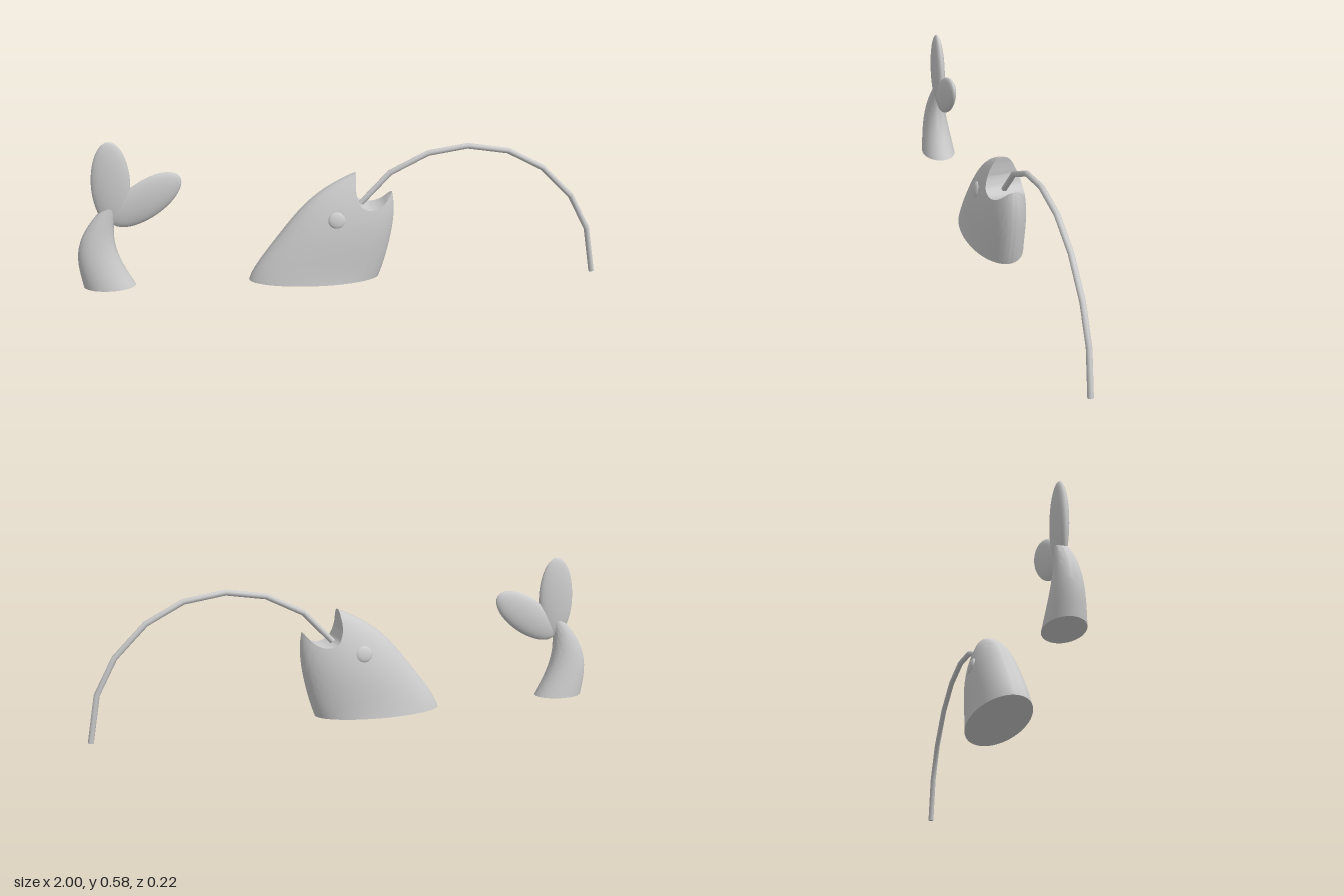
import * as THREE from 'three';
import { toCreasedNormals } from 'three/addons/utils/BufferGeometryUtils.js';

const grey = new THREE.MeshStandardMaterial({ color: 0xcccccc });

// Smooth polynomial through a few (knot, value) pairs
const fit = (knots, values) => (y) =>
  values.reduce((sum, v, i) => sum + v * knots.reduce(
    (p, k, j) => (j === i ? p : p * (y - k) / (knots[i] - k)), 1), 0);

function part(name, geometry, parent) {
  const mesh = new THREE.Mesh(geometry, grey);
  mesh.name = name;
  parent.add(mesh);
  return mesh;
}

function indexed(positions, index) {
  const g = new THREE.BufferGeometry();
  g.setAttribute('position', new THREE.Float32BufferAttribute(positions, 3));
  g.setIndex(index);
  return toCreasedNormals(g, 0.7);
}

function ellipsoid(name, parent, radii, position, rotation = [0, 0, 0]) {
  const m = part(name, new THREE.SphereGeometry(1, 32, 20), parent);
  m.scale.set(...radii);
  m.position.set(...position);
  m.rotation.set(...rotation);
  return m;
}

// Fish head: elliptical level sections, with the open mouth cut across
function headGeometry() {
  const knots = [0.025, 0.13, 0.25, 0.36, 0.437];
  const back = fit(knots, [-0.362, -0.299, -0.205, -0.094, 0.047]);
  const belly = fit(knots, [0.137, 0.17, 0.192, 0.186, 0.15]);
  const width = fit(knots, [0.11, 0.101, 0.0885, 0.06, 0.028]);
  const halfDepth = (x, y) => {
    const a = (belly(y) - back(y)) / 2, u = (x - back(y) - a) / a;
    return width(y) * Math.sqrt(Math.max(0, 1 - u * u));
  };

  // Side outline, counter-clockwise: base, belly, mouth, back
  const base = 0.025, lip = 0.357, snout = 0.437, n = 32, outline = [];
  const mouth = new THREE.SplineCurve([
    [belly(lip), lip], [0.15, 0.317], [0.105, 0.302], [0.066, 0.314],
    [0.05, 0.342], [0.043, 0.38], [back(snout), snout],
  ].map((p) => new THREE.Vector2(...p)));
  const run = (f) => { for (let i = 0; i < n; i++) outline.push(f(i / n)); };
  run((t) => [THREE.MathUtils.lerp(back(base), belly(base), (1 - Math.cos(t * Math.PI)) / 2), base]);
  run((t) => { const y = base + (lip - base) * t; return [belly(y), y]; });
  run((t) => mouth.getPoint(t).toArray());
  run((t) => { const y = snout + (base - snout) * t; return [back(y), y]; });

  // Two mirrored flanks, fanned out from a centre point
  const c = [0.022, 0.14], rings = 20, count = outline.length;
  const pos = [], index = [];
  const at = (side, i, j) => (side * count + (i % count)) * (rings + 1) + j;
  for (const s of [1, -1]) {
    for (const [ox, oy] of outline) {
      for (let j = 0; j <= rings; j++) {
        const r = Math.sin(j / rings * Math.PI / 2);
        const x = c[0] + (ox - c[0]) * r, y = c[1] + (oy - c[1]) * r;
        pos.push(x, y, s * halfDepth(x, y));
      }
    }
  }
  const quad = (a, b, d, e) => index.push(a, b, d, a, d, e);
  for (let i = 0; i < count; i++) {
    for (let j = 0; j < rings; j++) {
      quad(at(0, i, j), at(0, i, j + 1), at(0, i + 1, j + 1), at(0, i + 1, j));
      quad(at(1, i, j), at(1, i + 1, j), at(1, i + 1, j + 1), at(1, i, j + 1));
    }
    // Flat base and mouth surface join the flanks
    if (i < n || (i >= 2 * n && i < 3 * n)) {
      quad(at(0, i, rings), at(1, i, rings), at(1, i + 1, rings), at(0, i + 1, rings));
    }
  }
  return indexed(pos, index);
}

// Curved tail stalk lofted from level ellipses
function stalkGeometry() {
  const knots = [0.023, 0.11, 0.205, 0.29, 0.36];
  const left = fit(knots, [-0.985, -1.0, -0.987, -0.935, -0.868]);
  const right = fit(knots, [-0.79, -0.836, -0.862, -0.857, -0.835]);
  const depth = fit(knots, [0.07, 0.058, 0.043, 0.028, 0.014]);
  const rows = 20, sides = 32, pos = [], index = [];
  for (let i = 0; i <= rows; i++) {
    const y = 0.023 + (0.36 - 0.023) * i / rows;
    const mid = (left(y) + right(y)) / 2, rx = (right(y) - left(y)) / 2;
    for (let k = 0; k < sides; k++) {
      const a = k / sides * Math.PI * 2;
      pos.push(mid + rx * Math.cos(a), y, depth(y) * Math.sin(a));
    }
  }
  pos.push(-0.8875, 0.023, 0, -0.8515, 0.36, 0);
  const bottom = (rows + 1) * sides, top = bottom + 1;
  for (let k = 0; k < sides; k++) {
    const m = (k + 1) % sides;
    for (let i = 0; i < rows; i++) {
      const a = i * sides + k, b = i * sides + m;
      index.push(a, a + sides, b + sides, a, b + sides, b);
    }
    index.push(bottom, k, m, top, rows * sides + m, rows * sides + k);
  }
  return indexed(pos, index);
}

export function createModel() {
  const model = new THREE.Group();
  model.name = 'leapingFish';

  // Head with eyes
  const head = new THREE.Group();
  head.name = 'head';
  model.add(head);
  part('headBody', headGeometry(), head);
  for (const s of [1, -1]) {
    ellipsoid(s > 0 ? 'frontEye' : 'backEye', head,
      [0.033, 0.031, 0.011], [-0.032, 0.273, s * 0.08], [-s * 0.22, 0, 0]);
  }

  // Arched line running out of the mouth, in straight segments
  const path = new THREE.CatmullRomCurve3([
    [0.05, 0.295], [0.179, 0.43], [0.323, 0.502], [0.475, 0.526], [0.633, 0.502],
    [0.772, 0.43], [0.889, 0.312], [0.958, 0.179], [0.987, 0.002],
  ].map(([x, y]) => new THREE.Vector3(x, y, 0)));
  path.getPointAt = path.getPoint;
  path.getTangentAt = path.getTangent;
  part('line', new THREE.TubeGeometry(path, 8, 0.011, 12), model);
  const cap = part('lineEnd', new THREE.CircleGeometry(0.011, 12), model);
  cap.position.set(0.987, 0.002, 0);
  cap.lookAt(path.getTangent(1).add(cap.position));

  // Tail with two flukes
  const tail = new THREE.Group();
  tail.name = 'tail';
  model.add(tail);
  part('tailStalk', stalkGeometry(), tail);
  ellipsoid('uprightFluke', tail, [0.072, 0.16, 0.025], [-0.866, 0.421, 0]);
  ellipsoid('slantedFluke', tail, [0.155, 0.07, 0.025], [-0.74, 0.356, 0],
    [0, 0, THREE.MathUtils.degToRad(34)]);

  return model;
}
